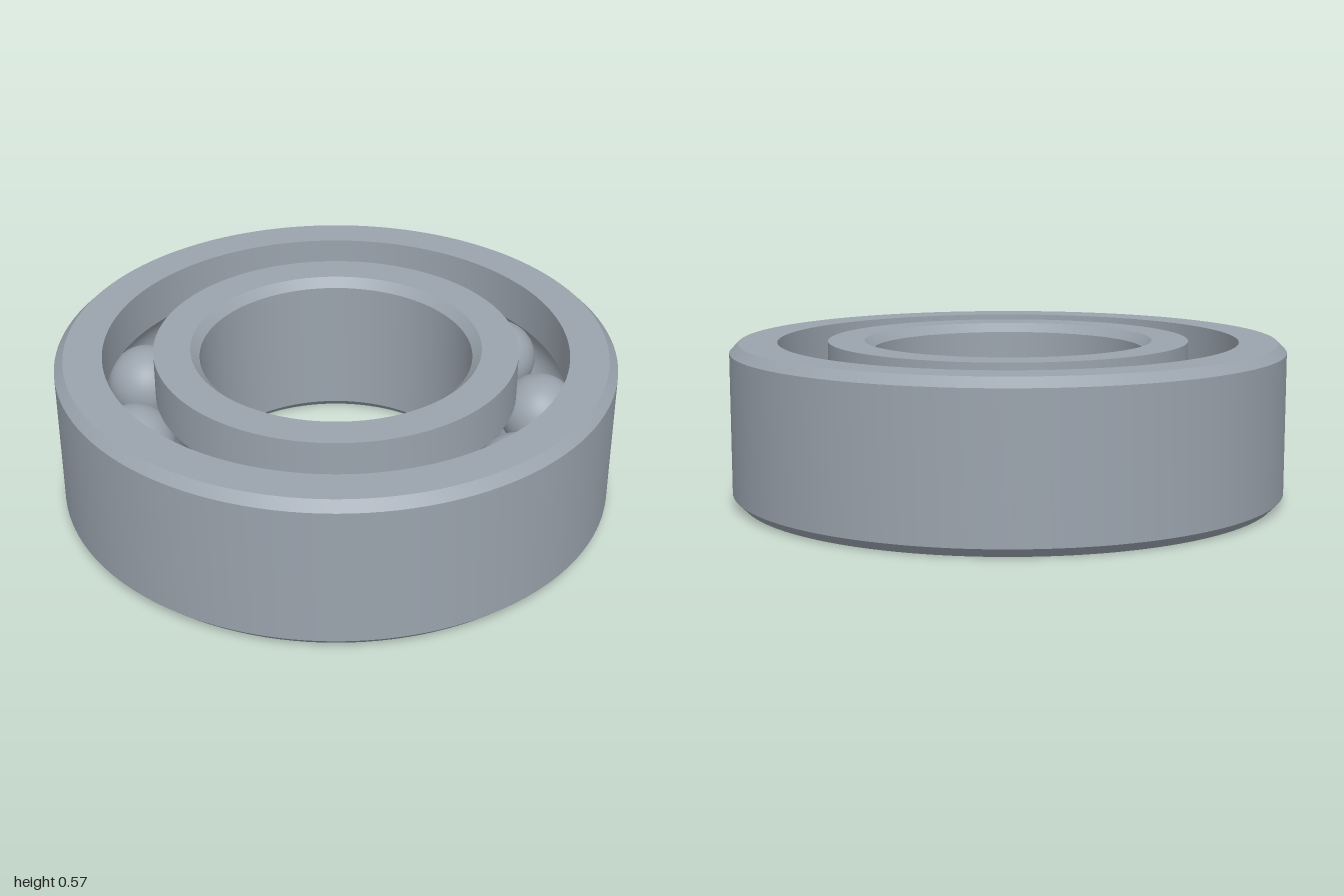
import * as THREE from 'three';
import { toCreasedNormals } from 'three/addons/utils/BufferGeometryUtils.js';

const HEIGHT = 0.57, MID = HEIGHT / 2;
const PITCH = 0.74, BALL_RADIUS = 0.142, GROOVE_RADIUS = 0.145, BALLS = 11;

// Points of a ball groove, from one angle to another around the ball centre
function groove(from, to, steps = 14) {
  return Array.from({ length: steps + 1 }, (_, i) => {
    const a = from + (to - from) * i / steps;
    return [PITCH + GROOVE_RADIUS * Math.cos(a), MID + GROOVE_RADIUS * Math.sin(a)];
  });
}

// Closed ring turned from an anticlockwise profile
function ring(name, profile, material) {
  const points = [...profile, profile[0]].map(([x, y]) => new THREE.Vector2(x, y));
  const geometry = toCreasedNormals(new THREE.LatheGeometry(points, 128), 0.4);
  const mesh = new THREE.Mesh(geometry, material);
  mesh.name = name;
  return mesh;
}

export function createModel() {
  const model = new THREE.Group();
  model.name = 'ballBearing';
  const steel = new THREE.MeshStandardMaterial({ color: 0x9aa3ad });
  steel.name = 'steel grey';

  // Outer ring: chamfered outside, grooved inside
  const c = 0.032, outerBore = 0.83;
  const a = Math.acos((outerBore - PITCH) / GROOVE_RADIUS);
  model.add(ring('outerRing', [
    [1 - c, 0], [1, c], [1, HEIGHT - c], [1 - c, HEIGHT],
    [outerBore, HEIGHT], ...groove(a, -a), [outerBore, 0],
  ], steel));

  // Inner ring: grooved outside, chamfered bore
  const bore = 0.487, shoulder = 0.65;
  const b = Math.acos((PITCH - shoulder) / GROOVE_RADIUS);
  model.add(ring('innerRing', [
    [shoulder, 0], ...groove(Math.PI + b, Math.PI - b), [shoulder, HEIGHT],
    [bore + c, HEIGHT], [bore, HEIGHT - c], [bore, c], [bore + c, 0],
  ], steel));

  // Balls spaced evenly around the race
  const balls = new THREE.Group();
  balls.name = 'balls';
  const sphere = new THREE.SphereGeometry(BALL_RADIUS, 40, 24);
  for (let i = 0; i < BALLS; i++) {
    const t = THREE.MathUtils.degToRad(3.85) + i * 2 * Math.PI / BALLS;
    const ball = new THREE.Mesh(sphere, steel);
    ball.name = `ball${i + 1}`;
    ball.position.set(PITCH * Math.sin(t), MID, -PITCH * Math.cos(t));
    balls.add(ball);
  }
  model.add(balls);
  return model;
}
